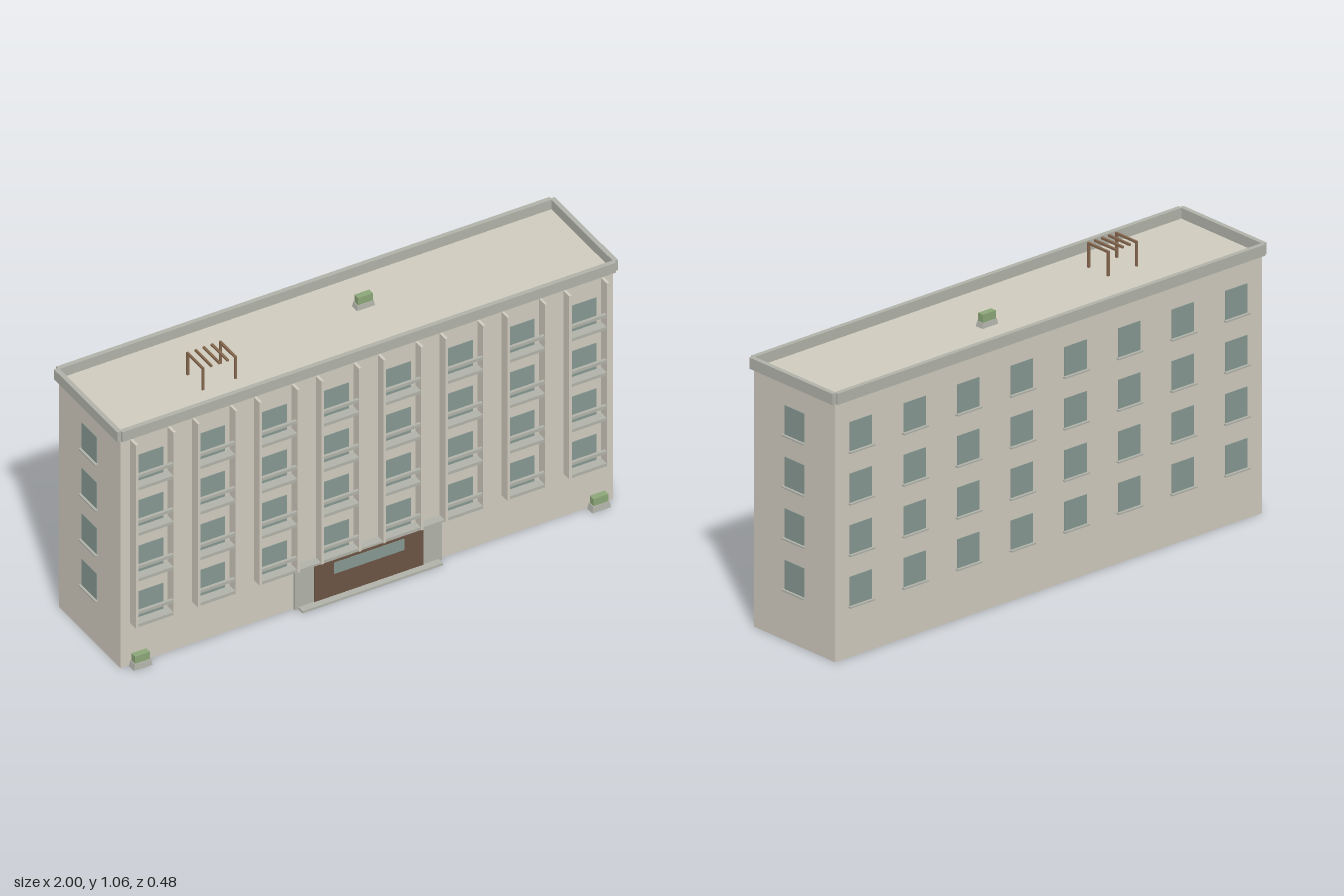
import * as THREE from 'three';

const mat = (color) => new THREE.MeshStandardMaterial({ color });

export function createModel() {
  const model = new THREE.Group();
  const wall = mat(0xd0cbbe), trim = mat(0xb1b3aa), glass = mat(0x879892);
  const brown = mat(0x6b5445), green = mat(0x8ca678), wood = mat(0x86684f);

  // Box given by its limits on each axis
  const box = (name, m, [x0, x1], [y0, y1], [z0, z1], parent = model) => {
    const mesh = new THREE.Mesh(new THREE.BoxGeometry(x1 - x0, y1 - y0, z1 - z0), m);
    mesh.name = name;
    mesh.position.set((x0 + x1) / 2, (y0 + y1) / 2, (z0 + z1) / 2);
    parent.add(mesh);
    return mesh;
  };
  const around = (c, half) => [c - half, c + half];
  const group = (name) => {
    const g = new THREE.Group();
    g.name = name;
    model.add(g);
    return g;
  };

  const FRONT = 0.198, BACK = -0.221, SIDE = 0.983, ROOF = 0.97;
  const columns = Array.from({ length: 8 }, (_, i) => -0.865 + i * 1.73 / 7);
  const floors = Array.from({ length: 4 }, (_, i) => 0.192 + i * 0.193);

  // Main block
  box('mainBlock', wall, [-SIDE, SIDE], [0, ROOF], [BACK, FRONT]);

  // Parapet: long front and back walls, short end walls
  const parapet = group('parapet');
  const rim = [0.968, 1.01];
  box('parapetFront', trim, [-0.985, 0.985], rim, [0.195, 0.213], parapet);
  box('parapetBack', trim, [-0.985, 0.985], rim, [-0.237, -0.219], parapet);
  for (const s of [-1, 1]) {
    box('parapetEnd', trim, around(s * 0.991, 0.009), rim, [-0.227, 0.204], parapet);
  }

  // Balcony bays: two fins, with a slab, rail and window on each floor
  for (const x of columns) {
    const bay = group('balconyBay');
    for (const s of [-1, 1]) {
      box('fin', wall, around(x + s * 0.075, 0.005), [0.178, 0.955], [FRONT, 0.237], bay);
    }
    for (const y of floors) {
      box('frontWindow', glass, around(x, 0.051), [y, y + 0.109], [FRONT - 0.01, FRONT + 0.002], bay);
      box('balconySlab', trim, around(x, 0.071), [y - 0.012, y], [FRONT, 0.236], bay);
      box('balconyRail', trim, around(x, 0.071), [y + 0.041, y + 0.053], [0.225, 0.236], bay);
    }
  }

  // Back windows with sills
  const backWindows = group('backWindows');
  for (const x of columns) for (const y of floors) {
    box('window', glass, around(x, 0.051), [y, y + 0.109], [BACK - 0.002, BACK + 0.01], backWindows);
    box('sill', trim, around(x, 0.057), [y - 0.006, y], [BACK - 0.012, BACK], backWindows);
  }

  // End windows with sills
  for (const s of [-1, 1]) {
    const endWindows = group(s > 0 ? 'leftWindows' : 'rightWindows');
    for (const y of floors) {
      box('window', glass, around(s * (SIDE - 0.004), 0.006), [y, y + 0.109], around(-0.012, 0.051), endWindows);
      box('sill', trim, around(s * (SIDE + 0.005), 0.006), [y - 0.006, y], around(-0.012, 0.057), endWindows);
    }
  }

  // Entrance
  const entrance = group('entrance');
  box('surround', trim, [-0.293, 0.293], [0, 0.178], [FRONT, 0.209], entrance);
  box('door', brown, [-0.217, 0.217], [0.008, 0.158], [FRONT, 0.212], entrance);
  box('doorGlass', glass, [-0.14, 0.14], [0.101, 0.148], [FRONT, 0.214], entrance);
  box('canopy', trim, [-0.35, 0.35], [0.177, 0.185], [FRONT, 0.232], entrance);
  box('step', trim, [-0.28, 0.28], [0, 0.009], [FRONT, 0.238], entrance);

  // Planters: tapered tub with a clipped hedge
  const planter = (x, y, z) => {
    const g = group('planter');
    const tub = box('tub', trim, around(0, 0.037), [0, 0.025], around(0, 0.0175), g);
    const p = tub.geometry.attributes.position;
    for (let i = 0; i < p.count; i++) {
      if (p.getY(i) > 0) p.setXYZ(i, p.getX(i) * 0.88, p.getY(i), p.getZ(i) * 0.85);
    }
    tub.geometry.computeVertexNormals();
    box('hedge', green, around(0, 0.03), [0.025, 0.055], around(0, 0.0125), g);
    g.position.set(x, y, z);
  };
  planter(-0.915, 0, 0.219);
  planter(0.915, 0, 0.219);
  planter(0.137, 0.965, -0.057);

  // Roof pergola: five beams, the outer two on posts
  const pergola = group('pergola');
  for (let i = 0; i < 5; i++) {
    const x = around(-0.59 + i * 0.0325, 0.004);
    box('beam', wood, x, [1.056, 1.064], [-0.018, 0.092], pergola);
    if (i % 4 === 0) for (const z of [-0.014, 0.088]) {
      box('post', wood, x, [ROOF, 1.056], around(z, 0.004), pergola);
    }
  }
  return model;
}
